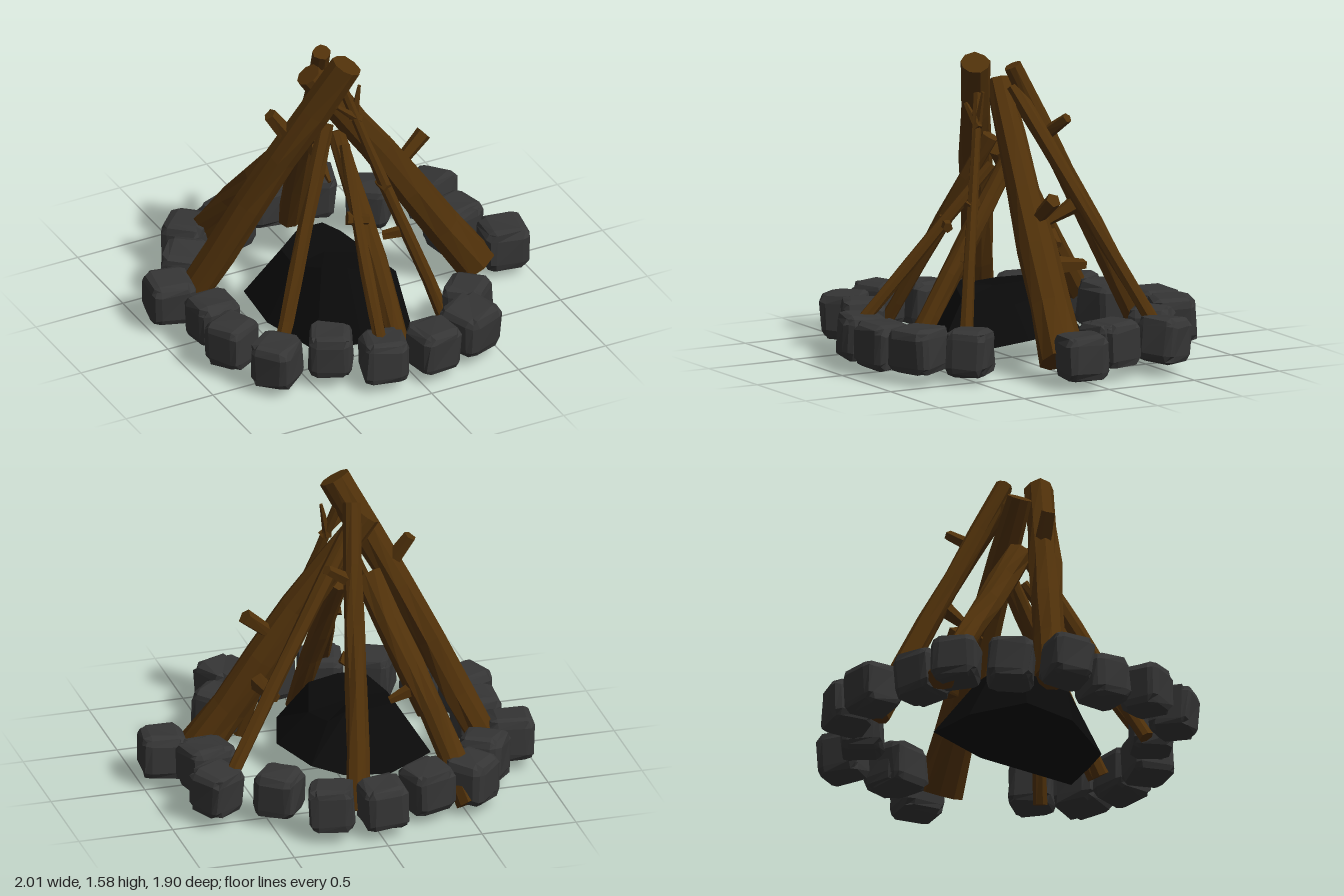
import * as THREE from 'three';

const UP = new THREE.Vector3(0, 1, 0);

export function createModel() {
  const group = new THREE.Group();
  group.name = 'campfire';
  const paint = (name, color) => {
    const m = new THREE.MeshStandardMaterial({ color });
    m.name = name;
    return m;
  };
  const bark = paint('bark brown', 0x50310a);
  const rock = paint('stone grey', 0x353535);
  const char = paint('charcoal black', 0x0a0a0a);

  // Repeatable noise in -1..1, equal for coincident vertices
  const noise = (x, y, z, seed) => {
    const r = (n) => Math.round(n * 1000);
    const s = Math.sin(r(x) * 12.9898 + r(y) * 78.233 + r(z) * 37.719 + seed * 4.137) * 43758.5453;
    return (s - Math.floor(s)) * 2 - 1;
  };

  // Moves every vertex by a rule, then gives each face its own flat normal
  const reshape = (geometry, rule) => {
    const p = geometry.attributes.position;
    const v = new THREE.Vector3();
    for (let i = 0; i < p.count; i++) {
      rule(v.fromBufferAttribute(p, i));
      p.setXYZ(i, v.x, v.y, v.z);
    }
    const flat = geometry.toNonIndexed();
    flat.computeVertexNormals();
    return flat;
  };

  const add = (name, geometry, material) => {
    const mesh = new THREE.Mesh(geometry, material);
    mesh.name = name;
    group.add(mesh);
    return mesh;
  };

  // Rough tapered pole running between two points
  const pole = (name, top, bottom, rTop, rBottom, sides, rings, seed) => {
    const a = new THREE.Vector3(...bottom);
    const b = new THREE.Vector3(...top);
    const dir = b.clone().sub(a);
    const length = dir.length();
    const geometry = reshape(new THREE.CylinderGeometry(rTop, rBottom, length, sides, rings), (v) => {
      const k = 1.02 + 0.12 * noise(v.x, v.y, v.z, seed);
      const t = v.y / length + 0.5;
      const bend = rBottom * 0.09 * Math.sin(t * Math.PI * 2 + seed);
      v.set(v.x * k + bend, v.y, v.z * k + bend * 0.6);
    });
    const mesh = add(name, geometry, bark);
    mesh.position.copy(a).add(b).multiplyScalar(0.5);
    mesh.quaternion.setFromUnitVectors(UP, dir.normalize());
  };

  // Leaning logs and sticks: top, bottom, top radius, bottom radius
  const logs = [
    [[-0.07, 1.555, 0.18], [-0.77, 0.13, -0.23], 0.079, 0.084],
    [[-0.18, 1.09, -0.03], [-0.52, 0.08, -0.75], 0.07, 0.068],
    [[-0.09, 1.51, -0.05], [0.08, 0.1, -0.73], 0.043, 0.067],
    [[-0.18, 1.42, -0.015], [0.715, 0.13, 0.11], 0.068, 0.112],
    [[-0.03, 1.05, 0.0], [0.02, 0.09, 0.61], 0.048, 0.058],
  ];
  logs.forEach(([t, b, r0, r1], i) => pole(`log${i + 1}`, t, b, r0, r1, 9, 5, i + 1));

  const sticks = [
    [[-0.09, 1.4, -0.05], [0.71, 0.2, -0.47], 0.042, 0.036],
    [[-0.12, 1.15, 0.06], [-0.62, 0.03, 0.46], 0.045, 0.036],
    [[-0.07, 1.39, 0.16], [0.36, 0.03, 0.49], 0.024, 0.037],
    [[-0.04, 1.02, 0.1], [-0.19, 0.2, 0.82], 0.03, 0.033],
  ];
  sticks.forEach(([t, b, r0, r1], i) => pole(`stick${i + 1}`, t, b, r0, r1, 7, 5, i + 11));

  // Broken branch stubs: tip, root, tip radius, root radius
  const branches = [
    [[0.46, 0.91, 0.02], [0.28, 0.76, 0.04], 0.045, 0.032],
    [[0.37, 0.54, -0.21], [0.41, 0.56, 0.03], 0.028, 0.054],
    [[-0.41, 1.26, 0.0], [-0.28, 1.06, 0.04], 0.036, 0.05],
    [[0.11, 1.25, -0.26], [-0.03, 1.14, -0.2], 0.028, 0.036],
    [[0.0, 0.66, -0.13], [0.02, 0.78, -0.36], 0.01, 0.05],
    [[-0.19, 0.53, -0.38], [-0.36, 0.6, -0.39], 0.022, 0.045],
    [[-0.03, 0.72, 0.36], [-0.14, 0.74, 0.33], 0.028, 0.036],
    [[0.15, 0.59, 0.36], [0.07, 0.57, 0.32], 0.034, 0.026],
    [[0.08, 0.86, 0.25], [0.1, 0.84, 0.32], 0.024, 0.03],
    [[0.01, 1.41, 0.18], [-0.03, 1.22, 0.19], 0.008, 0.024],
    [[-0.13, 1.33, 0.2], [0.0, 1.22, 0.2], 0.012, 0.024],
  ];
  branches.forEach(([t, b, r0, r1], i) => pole(`branch${i + 1}`, t, b, r0, r1, 5, 1, i + 21));

  // Ring of blocky worn stones: x, y, z, width
  const stones = [
    [-0.02, 0.175, -0.83, 0.23], [0.24, 0.18, -0.8, 0.23], [0.45, 0.185, -0.56, 0.22], [0.755, 0.19, -0.46, 0.22],
    [0.71, 0.19, -0.15, 0.24], [0.74, 0.195, -0.17, 0.22], [0.88, 0.175, 0.09, 0.23], [0.46, 0.165, 0.51, 0.22],
    [0.35, 0.185, 0.75, 0.25], [0.1, 0.175, 0.82, 0.23], [-0.17, 0.17, 0.79, 0.23], [-0.4, 0.195, 0.65, 0.22],
    [-0.68, 0.18, 0.59, 0.22], [-0.8, 0.19, 0.33, 0.22], [-0.78, 0.18, 0.07, 0.23], [-0.88, 0.175, -0.22, 0.23],
    [-0.68, 0.18, -0.43, 0.23], [-0.54, 0.18, -0.67, 0.23], [-0.29, 0.18, -0.71, 0.23],
  ];
  stones.forEach(([x, y, z, w], i) => {
    const geometry = reshape(new THREE.BoxGeometry(1, 1, 1, 3, 3, 3), (v) => {
      const c = [v.x, v.y, v.z];
      const outer = c.filter((n) => Math.abs(n) > 0.4).length;
      const pull = [1, 1, 0.9, 0.78][outer];
      const q = c.map((n, k) => {
        const edge = Math.abs(n) > 0.4;
        return (edge ? n * pull : Math.sign(n) * 0.31) + 0.03 * noise(v.x, v.y, v.z, i + k * 7);
      });
      v.set(q[0] * w, q[1] * 0.235, q[2] * w);
    });
    const mesh = add(`stone${i + 1}`, geometry, rock);
    mesh.position.set(x, y, z);
    mesh.rotation.set(0.05 * Math.sin(i * 1.7), Math.atan2(x, z) + 0.12 * Math.sin(i * 3.1), 0.05 * Math.cos(i));
  });

  // Charcoal mound: bottom centre, base ring, top ring, top centre
  const base = [
    [-0.2, 0.1, -0.35], [0.04, 0.12, -0.34], [0.2, 0.17, -0.29], [0.28, 0.15, 0.06],
    [0.14, 0.07, 0.53], [-0.12, 0.05, 0.46], [-0.34, 0.02, 0.38], [-0.48, 0.08, 0.1], [-0.47, 0.11, -0.18],
  ];
  const crownY = [0.4, 0.4, 0.34, 0.31, 0.35, 0.4, 0.41, 0.36, 0.37];
  const crown = base.map(([x, , z], i) => [-0.1 + (x + 0.1) * 0.56, crownY[i], 0.04 + (z - 0.04) * 0.56]);
  const floor = [-0.1, 0.06, 0.04];
  const peak = [-0.12, 0.37, 0.04];
  const tris = [];
  base.forEach((b0, i) => {
    const j = (i + 1) % base.length;
    const b1 = base[j], c0 = crown[i], c1 = crown[j];
    tris.push(floor, b0, b1, b0, c0, b1, b1, c0, c1, c0, peak, c1);
  });
  const mound = new THREE.BufferGeometry();
  mound.setAttribute('position', new THREE.Float32BufferAttribute(tris.flat(), 3));
  mound.computeVertexNormals();
  add('charcoalMound', mound, char);

  return group;
}
